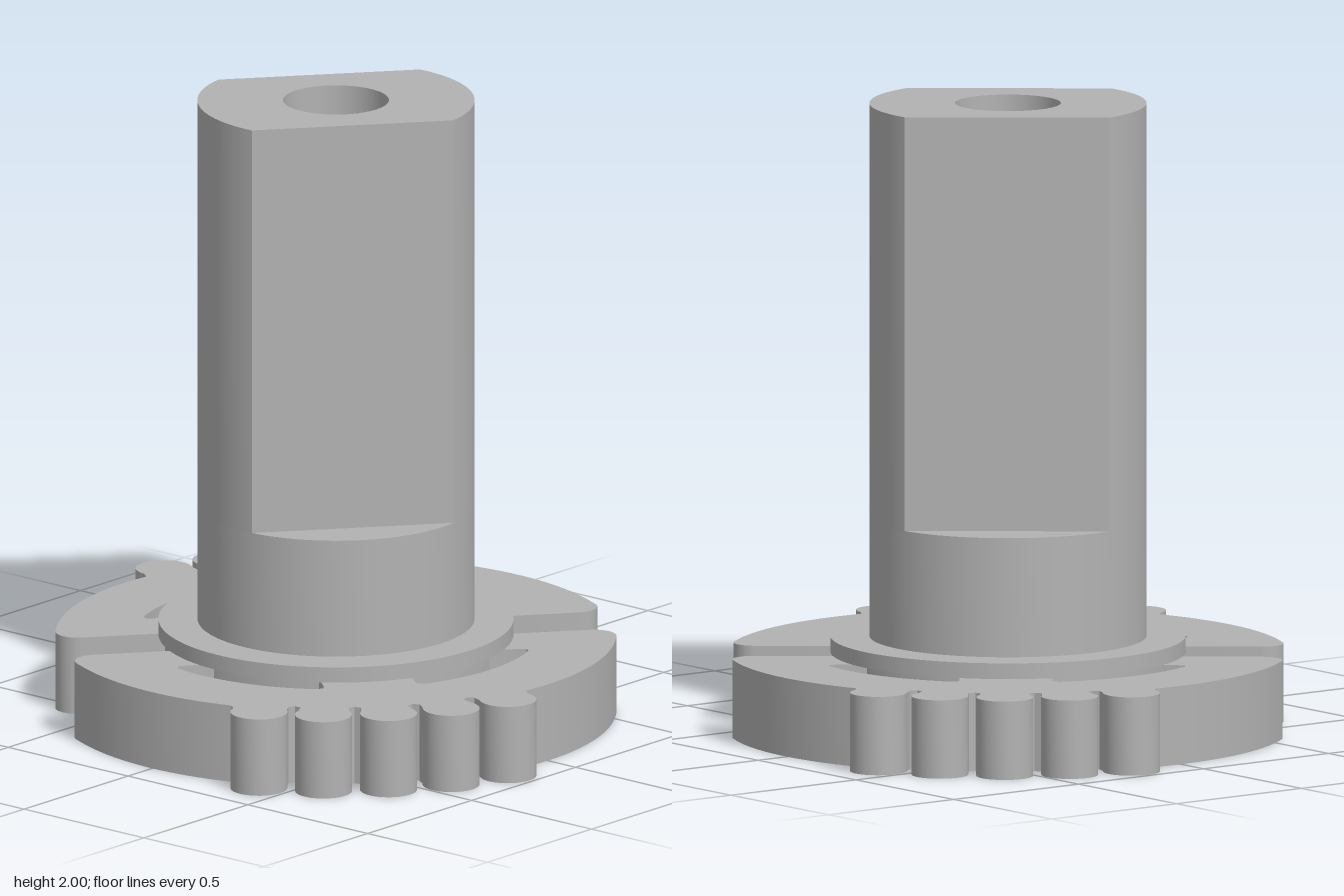
import * as THREE from 'three';
import { toCreasedNormals } from 'three/addons/utils/BufferGeometryUtils.js';

const RAD = Math.PI / 180;
const AXIS = 51.3;        // heading of the slots and shaft flats, in degrees
const BORE = 0.167, SHAFT = 0.437, COLLAR = 0.56, RIM = 0.884;

// points along an arc, angles in degrees
function arc(cx, cy, r, from, to, steps) {
  const pts = [];
  for (let i = 0; i <= steps; i++) {
    const a = (from + (to - from) * i / steps) * RAD;
    pts.push(new THREE.Vector2(cx + r * Math.cos(a), cy + r * Math.sin(a)));
  }
  return pts;
}

const polar = (r, deg) => new THREE.Vector2(r * Math.cos(deg * RAD), r * Math.sin(deg * RAD));

// upright prism with a central bore, between two heights
function prism(name, points, y0, y1, material, holes = []) {
  const shape = new THREE.Shape(points);
  shape.holes.push(new THREE.Path(arc(0, 0, BORE, 0, 352.5, 47)));
  holes.forEach(h => shape.holes.push(new THREE.Path(h)));
  let geo = new THREE.ExtrudeGeometry(shape, { depth: y1 - y0, bevelEnabled: false });
  geo.rotateX(-Math.PI / 2);
  geo.rotateY(AXIS * RAD);
  geo.translate(0, y0, 0);
  geo = toCreasedNormals(geo, 0.5);
  const mesh = new THREE.Mesh(geo, material);
  mesh.name = name;
  return mesh;
}

// half of the toothed plate outline, from one slot to the opposite one
function halfOutline() {
  const wall = 0.1, round = 0.07, tipX = 0.797, tipY = wall + round;
  const tipAngle = Math.atan2(tipY, tipX) / RAD;
  const toothR = 0.923, knob = 0.09, pitch = 12.8, lastTooth = 2 * pitch;
  const tip = [new THREE.Vector2(0.53, wall), ...arc(tipX, tipY, round, -90, tipAngle, 10)];
  const rim = arc(0, 0, RIM, tipAngle + 2, 90 - lastTooth - 6.6, 18);
  const mirror = list => list.map(p => new THREE.Vector2(-p.x, p.y)).reverse();

  // five round teeth with narrow rounded valleys
  const teeth = [];
  for (let k = -2; k <= 2; k++) {
    const a = 90 + k * pitch, c = polar(toothR, a);
    teeth.push(...arc(c.x, c.y, knob, a - (k === -2 ? 100 : 118), a + (k === 2 ? 100 : 118), 20));
    if (k < 2) {
      const mid = a + pitch / 2;
      teeth.push(polar(0.85, mid - 1.3), polar(0.838, mid), polar(0.85, mid + 1.3));
    }
  }
  return [...tip, ...rim, ...teeth, ...mirror(rim), ...mirror(tip)];
}

// curved window in one quadrant of the plate
function windowOutline(sx, sy) {
  const outer = 0.637, inner = 0.52, x = 0.146, y = 0.275;
  const low = r => Math.asin(y / r) / RAD, high = r => Math.acos(x / r) / RAD;
  return [
    polar(inner, low(inner)), polar(0.605, low(0.605)), polar(0.625, low(0.625) + 0.5),
    ...arc(0, 0, outer, low(outer) + 2.5, high(outer) - 2.5, 18),
    polar(0.625, high(0.625) - 0.5), polar(0.605, high(0.605)),
    ...arc(0, 0, inner, high(inner), low(inner) + 2, 14),
  ].map(p => new THREE.Vector2(p.x * sx, p.y * sy));
}

export function createModel() {
  const group = new THREE.Group();
  group.name = 'slottedGearShaft';
  const grey = new THREE.MeshStandardMaterial({ color: 0xb2b2b2 });
  grey.name = 'grey';

  // toothed base plate with two open slots and four windows
  const half = halfOutline();
  const plate = [...half, ...half.map(p => new THREE.Vector2(-p.x, -p.y))];
  const windows = [];
  for (const sx of [1, -1]) for (const sy of [1, -1]) windows.push(windowOutline(sx, sy));
  group.add(prism('toothedPlate', plate, 0, 0.25, grey, windows));

  // collar and round shaft foot
  group.add(prism('collar', arc(0, 0, COLLAR, 0, 356.25, 95), 0.25, 0.3, grey));
  group.add(prism('shaftFoot', arc(0, 0, SHAFT, 0, 356.25, 95), 0.3, 0.68, grey));

  // upper shaft with two parallel flats
  const flat = Math.asin(0.295 / SHAFT) / RAD;
  const flats = [
    ...arc(0, 0, SHAFT, -flat, flat, 28),
    ...arc(0, 0, SHAFT, 180 - flat, 180 + flat, 28),
  ];
  group.add(prism('flattedShaft', flats, 0.68, 2, grey));
  return group;
}
